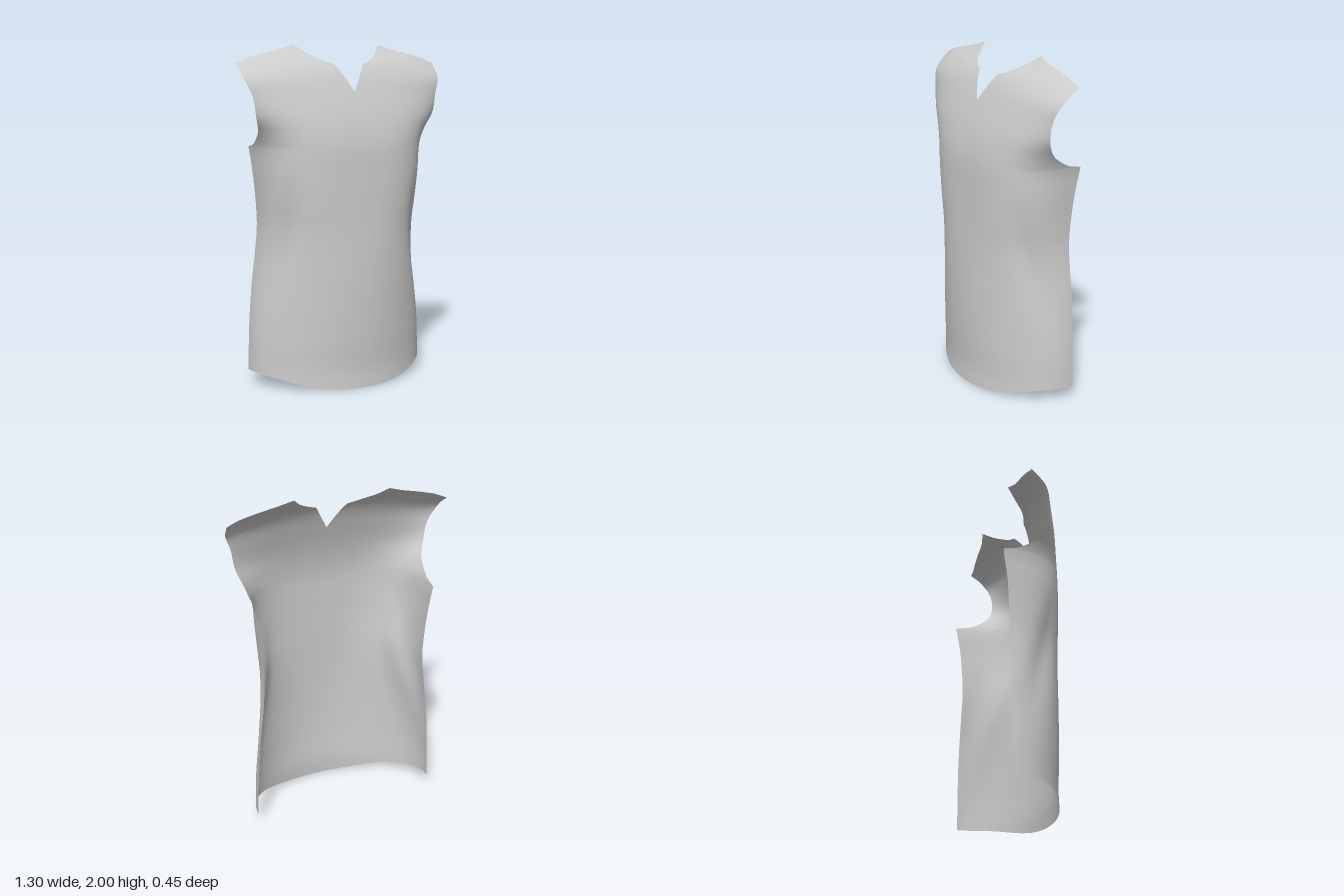
import * as THREE from 'three';

const COLS = 96, BODY_ROWS = 50, YOKE_ROWS = 44, ARMPIT = 1.41, TIP_X = 0.645, TIP_Y = 1.89;

// Interpolates rows of [key, ...values]; cubic for flowing curves, linear where corners matter.
function curve(Type, rows) {
  const size = rows[0].length - 1;
  const it = new Type(rows.map(r => r[0]), rows.flatMap(r => r.slice(1)), size, new Float32Array(size));
  return k => Array.from(it.evaluate(k));
}

// Centre-front profile: y -> z
const frontZ = curve(THREE.CubicInterpolant, [
  [0, 0.22], [0.1, 0.215], [0.3, 0.224], [0.6, 0.228], [1, 0.215], [1.25, 0.207], [1.4, 0.2], [1.5, 0.184],
  [1.6, 0.158], [1.73, 0.112], [1.82, 0.074], [1.87, 0.045], [1.91, 0.009], [1.95, -0.05], [2, -0.11],
]);

// Horizontal section: y -> half width, depth, squareness
const section = curve(THREE.CubicInterpolant, [
  [0, 0.565, 0.4, 2], [0.1, 0.563, 0.395, 2], [0.4, 0.55, 0.411, 2], [0.6, 0.533, 0.413, 2.05],
  [0.8, 0.509, 0.406, 2.2], [0.95, 0.497, 0.397, 2.4], [1.1, 0.5, 0.4, 2.7], [1.25, 0.51, 0.408, 2.9],
  [ARMPIT, 0.525, 0.424, 3], [1.45, 0.538, 0.413, 3], [1.5, 0.563, 0.378, 2.9], [1.6, 0.633, 0.29, 2.6],
  [1.7, 0.678, 0.215, 2.3], [1.8, 0.728, 0.185, 2.1], [1.86, 0.722, 0.205, 2], [TIP_Y, 0.712, 0.22, 2], [2, 0.71, 0.22, 2],
]);

// Side edge and armhole: y -> z
const edgeZ = curve(THREE.CubicInterpolant, [
  [0, -0.18], [0.1, -0.18], [0.4, -0.187], [0.8, -0.18], [1.1, -0.187], [1.25, -0.2], [ARMPIT, -0.225],
  [1.425, -0.155], [1.45, -0.1], [1.5, -0.03], [1.55, 0.008], [1.6, 0.027], [1.7, 0.028],
  [1.8, -0.005], [1.86, -0.06], [TIP_Y, -0.102],
]);

// Notched neckline and shoulder seam: u -> x, y
const topEdge = curve(THREE.LinearInterpolant, [
  [0, 0, 1.73], [0.1, 0.09, 1.885], [0.15, 0.135, 1.898], [0.2, 0.175, 1.917], [0.25, 0.215, 1.943],
  [0.3, 0.247, 1.97], [0.35, 0.275, 2], [0.5, 0.36, 1.972], [0.7, 0.475, 1.947], [0.85, 0.56, 1.925], [1, TIP_X, TIP_Y],
]);

// Solves a^n + b^n = 1 for b
const superellipse = (a, n) => Math.max(0, 1 - Math.min(1, a) ** n) ** (1 / n);

// One point of the cloth: u runs from centre front (0) to side edge (1)
function clothPoint(u, row) {
  const body = row <= BODY_ROWS;
  const t = body ? 0 : ((row - BODY_ROWS) / YOKE_ROWS) ** 1.5;
  const theta = u * Math.PI / 2;
  const [topX, topY] = topEdge(u);

  // Rows follow the curved hem below and spread to the neckline and shoulder above
  const hem = 0.085 * Math.sin(Math.PI / 2 * Math.sin(theta) ** 2.6);
  const y = body ? THREE.MathUtils.lerp(hem, ARMPIT, row / BODY_ROWS) : THREE.MathUtils.lerp(ARMPIT, topY, t);
  const edgeY = body ? y : THREE.MathUtils.lerp(ARMPIT, TIP_Y, t);

  // The armhole cuts each section short; reach is the part of its width that remains
  const [edgeWidth, edgeDepth, edgeN] = section(edgeY);
  const drop = (frontZ(edgeY)[0] - edgeZ(edgeY)[0]) / edgeDepth;
  const reach = body ? 1 : superellipse(Math.max(0, 1 - drop), edgeN);
  const across = Math.sin(u * Math.asin(reach ** (edgeN / 2))) ** (2 / edgeN);
  let x = edgeWidth * THREE.MathUtils.lerp(across, reach * topX / TIP_X, t);

  const [width, depth, n] = section(y);
  let z = frontZ(y)[0] - depth * (1 - superellipse(x / width, n));

  // Broad diagonal drape fold running from the chest down towards the side
  const s = (1.4 - y) / 1.15;
  if (s > 0 && s < 1) {
    const off = (u - (0.47 + 0.4 * s)) / 0.14;
    const dent = 0.022 * Math.sin(Math.PI * s) ** 2 * Math.exp(-off * off);
    x -= dent * Math.sin(theta);
    z -= dent * Math.cos(theta);
  }
  return [x, y, z];
}

export function createModel() {
  const group = new THREE.Group();
  group.name = 'garmentFront';

  // Single open sheet, mirrored about the centre front
  const rows = BODY_ROWS + YOKE_ROWS, w = COLS + 1;
  const positions = [], index = [];
  for (let j = 0; j <= rows; j++) {
    for (let i = 0; i <= COLS; i++) {
      const u = (2 * i) / COLS - 1;
      const [x, y, z] = clothPoint(Math.abs(u), j);
      positions.push(Math.sign(u) * x, y, z);
      if (i < COLS && j < rows) {
        const a = j * w + i;
        index.push(a, a + 1, a + w, a + 1, a + w + 1, a + w);
      }
    }
  }
  const geometry = new THREE.BufferGeometry();
  geometry.setAttribute('position', new THREE.Float32BufferAttribute(positions, 3));
  geometry.setIndex(index);
  geometry.computeVertexNormals();

  const cloth = new THREE.Mesh(geometry,
    new THREE.MeshStandardMaterial({ color: 0xcccccc, side: THREE.DoubleSide }));
  cloth.name = 'frontPanel';
  group.add(cloth);
  return group;
}
